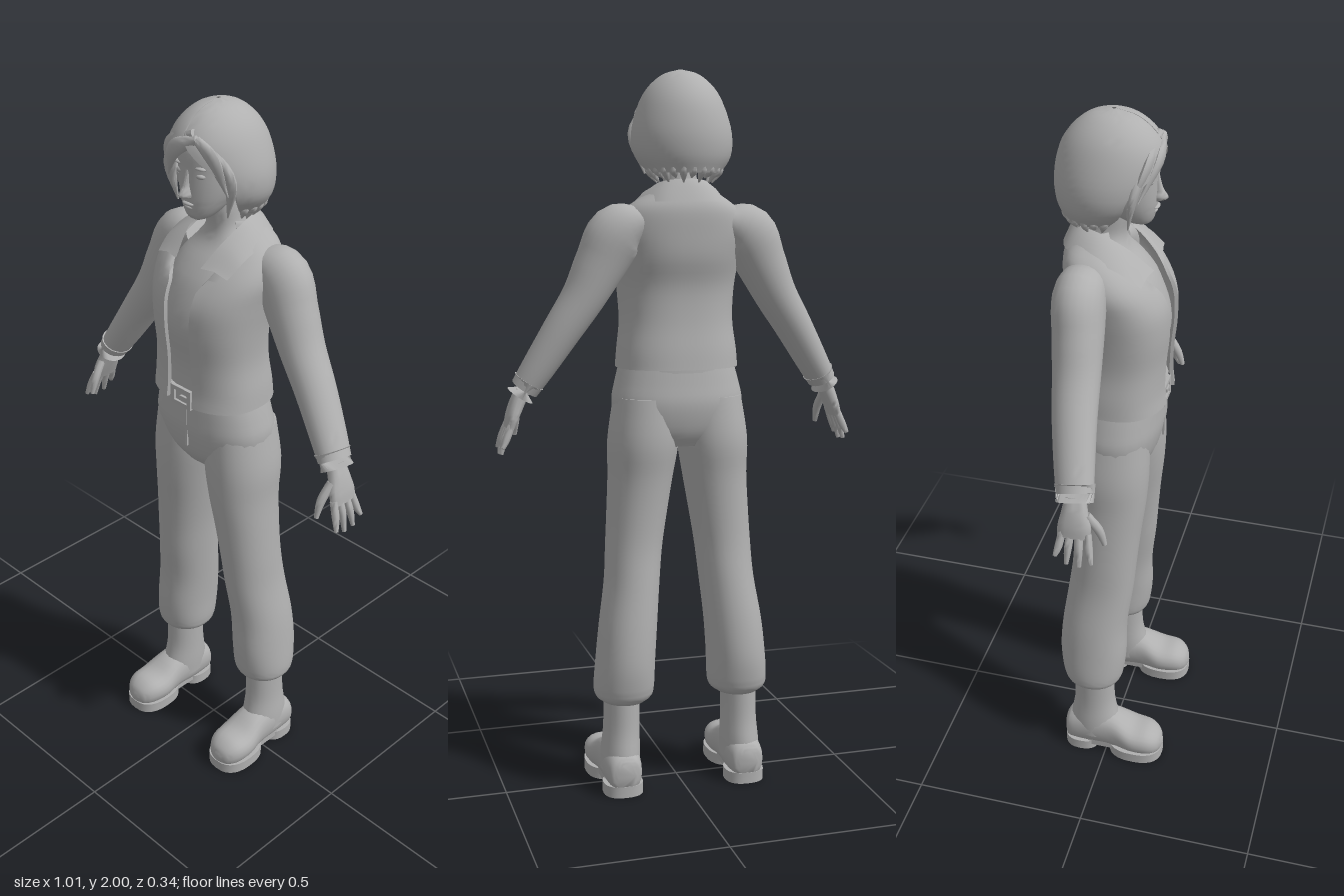
import * as THREE from 'three';
import { toCreasedNormals } from 'three/addons/utils/BufferGeometryUtils.js';

const V = (x, y, z) => new THREE.Vector3(x, y, z);
const grey = new THREE.MeshStandardMaterial({ color: 0xb0b0b0 });
grey.name = 'plain grey';
grey.side = THREE.DoubleSide;

// Unit superellipse ring; p above 2 is boxier.
function ring(n, p = 2, from = 0, to = Math.PI * 2, closed = true) {
  const pts = [], f = (c) => Math.sign(c) * Math.pow(Math.abs(c), 2 / p);
  for (let i = 0; i < n; i++) {
    const a = from + (to - from) * i / (closed ? n : n - 1);
    pts.push([f(Math.cos(a)), f(Math.sin(a))]);
  }
  return pts;
}

// Shell ring with a front opening of half-angle g and a wall thickness.
function openRing(n, p, g, inner) {
  const outer = ring(n, p, Math.PI / 2 + g, Math.PI * 2.5 - g, false);
  return outer.concat(outer.map(([u, w]) => [u * inner, w * inner]).reverse());
}

// Surface through rows [x, y, z, radiusU, radiusW], smoothed between rows.
function loft(rows, { profile = () => ring(24), axis = null, ref = V(0, 0, 1), steps = 4, crease = 1 } = {}) {
  const mid = new THREE.CatmullRomCurve3(rows.map((r) => V(r[0], r[1], r[2])), false, 'catmullrom');
  const rad = new THREE.CatmullRomCurve3(rows.map((r) => V(r[3], r[4], 0)), false, 'catmullrom');
  const m = (rows.length - 1) * steps, pos = [], idx = [];
  let n = 0;
  for (let i = 0; i <= m; i++) {
    const t = i / m, c = mid.getPoint(t), r = rad.getPoint(t), T = axis || mid.getTangent(t);
    const U = T.clone().cross(ref).normalize(), W = U.clone().cross(T).normalize();
    const pts = profile(c.y);
    n = pts.length;
    for (const [u, w] of pts) {
      const q = c.clone().addScaledVector(U, u * r.x).addScaledVector(W, w * r.y);
      pos.push(q.x, q.y, q.z);
    }
  }
  for (let i = 0; i < m; i++) for (let j = 0; j < n; j++) {
    const a = i * n + j, b = i * n + (j + 1) % n;
    idx.push(a, a + n, b, b, a + n, b + n);
  }
  // End caps: simple outlines are fanned, shells are bridged between their walls.
  for (let j = 1; j < n - 1; j++) {
    const k = n - 1 - j, e = m * n;
    if (profile.shell) {
      if (j < n / 2) idx.push(j - 1, j, k + 1, j, k, k + 1, e + j - 1, e + k + 1, e + j, e + j, e + k + 1, e + k);
    } else idx.push(0, j, j + 1, e, e + j + 1, e + j);
  }
  const g = new THREE.BufferGeometry();
  g.setAttribute('position', new THREE.Float32BufferAttribute(pos, 3));
  g.setIndex(idx);
  return toCreasedNormals(g, crease);
}

// Ruled sheet between two curves.
function ruled(a, b, n) {
  const pos = [], idx = [];
  const A = new THREE.CatmullRomCurve3(a), B = new THREE.CatmullRomCurve3(b);
  for (let i = 0; i <= n; i++) {
    const p = A.getPoint(i / n), q = B.getPoint(i / n), m = p.clone().lerp(q, 0.5);
    m.y += 0.008;
    for (const v of [p, m, q]) pos.push(v.x, v.y, v.z);
    if (i < n) for (const k of [i * 3, i * 3 + 1]) idx.push(k, k + 1, k + 3, k + 1, k + 4, k + 3);
  }
  const g = new THREE.BufferGeometry();
  g.setAttribute('position', new THREE.Float32BufferAttribute(pos, 3));
  g.setIndex(idx);
  g.computeVertexNormals();
  return g;
}

export function createModel() {
  const root = new THREE.Group();
  const Y = V(0, 1, 0);
  const add = (name, geo, x = 0, y = 0, z = 0) => {
    const mesh = new THREE.Mesh(geo, grey);
    mesh.name = name;
    mesh.position.set(x, y, z);
    root.add(mesh);
    return mesh;
  };
  const up = (p, n = 28) => ({ axis: Y, profile: () => ring(n, p) });
  const ball = (name, x, y, z, a, b, c) => add(name, new THREE.SphereGeometry(1, 14, 10), x, y, z).scale.set(a, b, c);

  // Shirt and neck
  add('shirtAndNeck', loft([[0, 1.18, 0, .13, .11], [0, 1.3, 0, .13, .106], [0, 1.42, .01, .14, .115],
    [0, 1.52, -.01, .14, .106], [0, 1.58, -.03, .12, .09], [0, 1.63, -.045, .08, .065],
    [0, 1.67, -.045, .05, .052], [0, 1.72, -.035, .045, .05], [0, 1.78, -.025, .045, .05]], up(2.2)));

  // Open jacket with a wider neck opening
  const jacketRing = (y) => openRing(36, 2.4, .22 + Math.max(0, y - 1.54) * 3.5, .93);
  jacketRing.shell = true;
  add('jacket', loft([[0, 1.2, 0, .17, .134], [0, 1.25, 0, .166, .129], [0, 1.33, .006, .157, .125],
    [0, 1.42, .01, .162, .129], [0, 1.5, -.003, .172, .136], [0, 1.57, -.025, .18, .12],
    [0, 1.63, -.052, .155, .093], [0, 1.67, -.065, .1, .065], [0, 1.69, -.065, .075, .053]],
  { axis: Y, profile: jacketRing }));

  // Folded collar
  const both = (half) => [...half.slice(1).reverse().map(([x, y, z]) => V(-x, y, z)), ...half.map((p) => V(...p))];
  add('collar', ruled(
    both([[0, 1.71, -.118], [.055, 1.705, -.095], [.072, 1.692, -.035], [.064, 1.655, .03], [.045, 1.595, .092]]),
    both([[0, 1.65, -.15], [.085, 1.65, -.13], [.128, 1.647, -.05], [.135, 1.62, .03], [.127, 1.585, .078]]), 40));

  // Trousers: hips, belt, buckle, fly
  add('hips', loft([[0, .985, -.012, .09, .08], [0, 1.03, -.01, .165, .106], [0, 1.1, -.008, .184, .121],
    [0, 1.16, -.004, .174, .118], [0, 1.23, 0, .155, .112]], up(2.3)));
  add('belt', loft([[0, 1.19, 0, .16, .118], [0, 1.228, 0, .154, .117]], { ...up(2.3), steps: 1 }));
  const frame = new THREE.Shape([[-.038, -.028], [.038, -.028], [.038, .028], [-.038, .028]].map((p) => new THREE.Vector2(...p)));
  frame.holes.push(new THREE.Path([[-.024, -.016], [-.024, .016], [.024, .016], [.024, -.016]].map((p) => new THREE.Vector2(...p))));
  add('beltBuckle', new THREE.ExtrudeGeometry(frame, { depth: .01, bevelEnabled: false }), -.003, 1.212, .114);
  add('bucklePin', new THREE.BoxGeometry(.03, .01, .012), .01, 1.212, .118);
  add('fly', new THREE.BoxGeometry(.008, .12, .006), .008, 1.12, .112);

  for (const s of [1, -1]) {
    const side = s > 0 ? 'left' : 'right';
    const flip = (rows) => rows.map(([x, ...r]) => [x * s, ...r]);

    // Baggy trouser leg gathered above the boot
    add(side + 'TrouserLeg', loft(flip([[.09, 1.12, -.012, .09, .105], [.1, 1.0, -.015, .098, .112],
      [.108, .9, -.012, .09, .104], [.119, .8, -.015, .084, .096], [.13, .7, -.02, .079, .092],
      [.139, .6, -.03, .077, .094], [.154, .48, -.045, .081, .095], [.163, .38, -.048, .083, .098],
      [.167, .31, -.047, .085, .091], [.168, .278, -.046, .08, .082], [.168, .262, -.046, .06, .066]]), up(2.1)));

    // Boot
    add(side + 'BootShaft', loft(flip([[.174, .28, -.044, .05, .06], [.175, .18, -.044, .051, .062],
      [.178, .11, -.042, .055, .075], [.18, .06, -.04, .055, .08]]), up(2, 20)));
    add(side + 'BootFoot', loft(flip([[.18, .06, -.13, .025, .035], [.18, .065, -.115, .047, .05],
      [.18, .075, -.05, .054, .065], [.182, .074, .02, .054, .06], [.184, .06, .08, .064, .044],
      [.186, .057, .13, .058, .042], [.186, .05, .16, .038, .03], [.186, .045, .172, .008, .01]]),
    { axis: V(0, 0, 1), ref: Y, profile: () => ring(20, 2.4) }));
    const sole = (name, x, z, rx, rz) => add(side + name,
      loft(flip([[x, 0, z, rx, rz], [x, .032, z, rx, rz]]), { ...up(2.5), steps: 1 }));
    sole('BootToeSole', .185, .09, .065, .082);
    sole('BootHeel', .18, -.078, .056, .054);
    add(side + 'BootArch', new THREE.BoxGeometry(.09, .025, .1), .182 * s, .03, -.005);

    // Sleeve and cuff
    add(side + 'Sleeve', loft(flip([[.11, 1.6, -.065, .04, .055], [.18, 1.568, -.066, .078, .068],
      [.225, 1.49, -.058, .071, .066], [.272, 1.4, -.05, .059, .062], [.33, 1.31, -.04, .052, .058],
      [.39, 1.215, -.025, .045, .053], [.43, 1.152, -.013, .039, .049]])));
    add(side + 'Cuff', loft(flip([[.418, 1.172, -.016, .044, .053], [.442, 1.133, -.01, .039, .049]]), { steps: 1 }));

    // Hand
    add(side + 'Palm', loft(flip([[.436, 1.145, -.01, .02, .027], [.452, 1.11, -.008, .02, .035],
      [.465, 1.075, -.006, .017, .044], [.474, 1.045, -.006, .012, .043]]), { profile: () => ring(14, 2.3) }));
    const digit = (name, a, b, c, r) => add(side + name, loft(flip([[...a, r, r], [...b, r, r], [...c, r * .55, r * .55]]),
      { profile: () => ring(8), ref: V(.3 * s, 0, 1), steps: 3 }));
    [[.03, .046, .985], [.008, .014, .972], [-.015, -.02, .975], [-.036, -.05, .995]].forEach(([z0, z1, y], i) =>
      digit('Finger' + (i + 1), [.47, 1.06, z0], [.487, 1.018, (z0 + z1) / 2], [.498, y, z1], .0105));
    digit('Thumb', [.452, 1.105, .022], [.446, 1.06, .052], [.446, 1.015, .068], .012);

    // Eyes, brows and ears
    ball(side + 'Eye', .033 * s - .004, 1.832, .074, .016, .008, .012);
    ball(side + 'Brow', .034 * s - .004, 1.853, .077, .021, .005, .011);
    ball(side + 'Ear', .083 * s - .004, 1.8, -.005, .01, .032, .02);
  }

  // Head, nose and lips
  add('head', loft([[-.004, 1.706, .05, .014, .014], [-.004, 1.718, .04, .036, .038], [-.004, 1.75, .02, .058, .067],
    [-.004, 1.79, .005, .073, .085], [-.004, 1.84, 0, .08, .09], [-.004, 1.9, -.005, .08, .095],
    [-.004, 1.95, -.015, .06, .065]], up(2.1)));
  add('nose', loft([[-.004, 1.772, .088, .012, .008], [-.004, 1.78, .092, .015, .024],
    [-.004, 1.805, .088, .009, .014], [-.004, 1.845, .083, .008, .008]], up(2, 12)));
  ball('upperLip', -.004, 1.755, .086, .019, .005, .009);
  ball('lowerLip', -.004, 1.744, .08, .016, .006, .009);

  // Bobbed hair, open around the face
  const hairRing = (y) => openRing(36, 2, THREE.MathUtils.clamp((1.925 - y) * 9, .02, 1.02), .88);
  hairRing.shell = true;
  add('hair', loft([[-.006, 1.725, -.062, .098, .09], [-.006, 1.77, -.043, .13, .125], [-.006, 1.83, -.032, .136, .14],
    [-.006, 1.9, -.024, .117, .134], [-.006, 1.95, -.022, .09, .105], [-.006, 1.985, -.022, .05, .06],
    [-.006, 1.999, -.022, .005, .006]], { axis: Y, profile: hairRing }));

  // Fringe locks sweeping from the parting
  const lock = (a, b, c, w) => add('hairLock', loft([[...a, w * .5, .01], [...b, w, .012], [...c, .002, .002]],
    { profile: () => ring(10), steps: 5 }));
  lock([.035, 1.93, .09], [-.04, 1.89, .098], [-.1, 1.8, .062], .022);
  lock([.02, 1.94, .085], [-.07, 1.885, .078], [-.118, 1.79, .04], .026);
  lock([-.06, 1.9, .075], [-.105, 1.82, .052], [-.095, 1.725, .035], .02);
  lock([.03, 1.93, .09], [.075, 1.885, .078], [.1, 1.79, .05], .022);
  lock([.06, 1.91, .07], [.104, 1.83, .047], [.08, 1.725, .03], .02);

  // Jagged hair ends around sides and nape
  for (let i = 0; i < 15; i++) {
    const a = Math.PI * (-.12 + 1.24 * i / 14), c = Math.cos(a), k = Math.sin(a);
    lock([-.006 + .1 * c, 1.75, -.055 - .092 * k], [-.006 + .094 * c, 1.73, -.058 - .086 * k],
      [-.006 + .075 * c, 1.7 + .012 * (i % 2), -.06 - .066 * k], .012);
  }
  return root;
}
